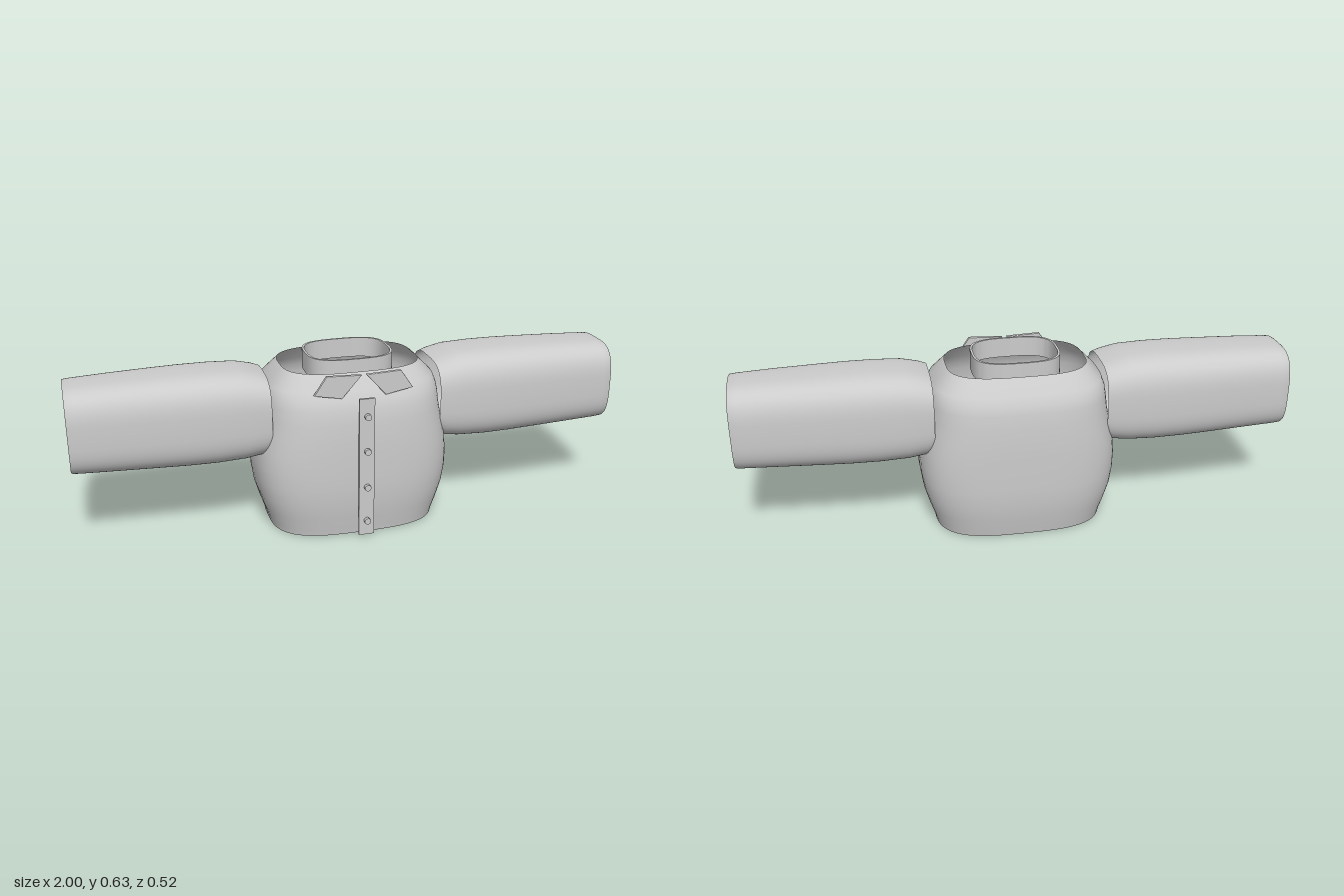
import * as THREE from 'three';
import { toCreasedNormals } from 'three/addons/utils/BufferGeometryUtils.js';

const cloth = new THREE.MeshStandardMaterial({ color: 0xcccccc, side: THREE.DoubleSide });
const SEGMENTS = 64;

// Skin a stack of rounded-square rings; each ring is [y, xMin, xMax, zMin, zMax].
function loft(rings, power) {
  const positions = [], index = [];
  const bulge = (v) => Math.sign(v) * Math.pow(Math.abs(v), 2 / power);
  for (const [y, x0, x1, z0, z1] of rings) {
    for (let i = 0; i < SEGMENTS; i++) {
      const t = (i / SEGMENTS) * Math.PI * 2;
      positions.push(
        (x0 + x1) / 2 + ((x1 - x0) / 2) * bulge(Math.cos(t)), y,
        (z0 + z1) / 2 + ((z1 - z0) / 2) * bulge(Math.sin(t)));
    }
  }
  for (let r = 0; r < rings.length - 1; r++) {
    for (let i = 0; i < SEGMENTS; i++) {
      const a = r * SEGMENTS + i, b = r * SEGMENTS + (i + 1) % SEGMENTS;
      index.push(a, a + SEGMENTS, b, b, a + SEGMENTS, b + SEGMENTS);
    }
  }
  const geometry = new THREE.BufferGeometry();
  geometry.setAttribute('position', new THREE.Float32BufferAttribute(positions, 3));
  geometry.setIndex(index);
  return toCreasedNormals(geometry, 0.7);
}

function add(parent, name, geometry) {
  const mesh = new THREE.Mesh(geometry, cloth);
  mesh.name = name;
  parent.add(mesh);
  return mesh;
}

// Torso shell, open at neck and hem, with the hem turned inward
function torso() {
  const profile = [ // y, half width, back z, front z
    [0.02, 0.298, -0.225, 0.2], [0, 0.298, -0.225, 0.2], [0, 0.307, -0.235, 0.21],
    [0.02, 0.311, -0.239, 0.213], [0.07, 0.328, -0.249, 0.223], [0.13, 0.346, -0.258, 0.231],
    [0.19, 0.355, -0.26, 0.235], [0.25, 0.357, -0.26, 0.235], [0.31, 0.351, -0.26, 0.235],
    [0.37, 0.338, -0.259, 0.233], [0.43, 0.326, -0.255, 0.229], [0.48, 0.32, -0.25, 0.222],
    [0.51, 0.315, -0.243, 0.211], [0.54, 0.304, -0.226, 0.194], [0.595, 0.25, -0.183, 0.155],
  ];
  return loft(profile.map(([y, w, back, front]) => [y, -w, w, back, front]), 3.1);
}

// Sleeve running out along x, with a turned-in cuff
function sleeve(side) {
  const profile = [ // x, bottom y, top y, back z, front z
    [0.31, 0.295, 0.574, -0.165, 0.138], [0.34, 0.284, 0.585, -0.17, 0.142],
    [0.4, 0.275, 0.598, -0.174, 0.146], [0.5, 0.271, 0.602, -0.175, 0.148],
    [0.6, 0.272, 0.602, -0.174, 0.147], [0.7, 0.275, 0.6, -0.17, 0.143],
    [0.85, 0.28, 0.596, -0.162, 0.137], [0.97, 0.284, 0.591, -0.156, 0.131],
    [0.995, 0.286, 0.589, -0.154, 0.129], [1, 0.289, 0.586, -0.151, 0.126],
    [1, 0.294, 0.579, -0.143, 0.119], [0.96, 0.294, 0.579, -0.143, 0.119],
  ];
  const rings = profile.map(([x, bottom, top, back, front]) =>
    side > 0 ? [x, -top, -bottom, back, front] : [x, bottom, top, back, front]);
  return loft(rings, 3.3).rotateZ(-side * Math.PI / 2);
}

// Thin standing neck band
function neckBand() {
  const [low, high, t] = [0.555, 0.628, 0.008];
  const outer = (y) => [y, -0.157, 0.157, -0.141, 0.115];
  const inner = (y) => [y, -0.157 + t, 0.157 - t, -0.141 + t, 0.115 - t];
  return loft([outer(low), outer(high), inner(high), inner(low), outer(low)], 3.1);
}

// Pointed collar leaf
function collarFlap(side) {
  const corners = [[0.012, 0.598], [0.132, 0.602], [0.174, 0.54], [0.08, 0.523]];
  const shape = new THREE.Shape(corners.map(([x, y]) => new THREE.Vector2(side * x, y)));
  return new THREE.ExtrudeGeometry(shape, {
    depth: 0.008, bevelThickness: 0.003, bevelSize: 0.003, bevelSegments: 2,
  }).translate(0, 0, 0.196);
}

export function createModel() {
  const shirt = new THREE.Group();
  shirt.name = 'shirt';

  add(shirt, 'torso', torso());
  add(shirt, 'neckBand', neckBand());
  for (const [side, label] of [[1, 'left'], [-1, 'right']]) {
    add(shirt, label + 'Sleeve', sleeve(side));
    add(shirt, label + 'CollarFlap', collarFlap(side));
  }

  // Front placket and its row of buttons
  add(shirt, 'placket', new THREE.BoxGeometry(0.056, 0.52, 0.009)).position.set(0, 0.266, 0.24);
  const buttons = new THREE.Group();
  buttons.name = 'buttons';
  shirt.add(buttons);
  const button = new THREE.CylinderGeometry(0.0115, 0.0115, 0.013, 24).rotateX(Math.PI / 2);
  for (const y of [0.065, 0.196, 0.333, 0.463]) {
    add(buttons, 'button', button).position.set(0, y, 0.256);
  }
  return shirt;
}
